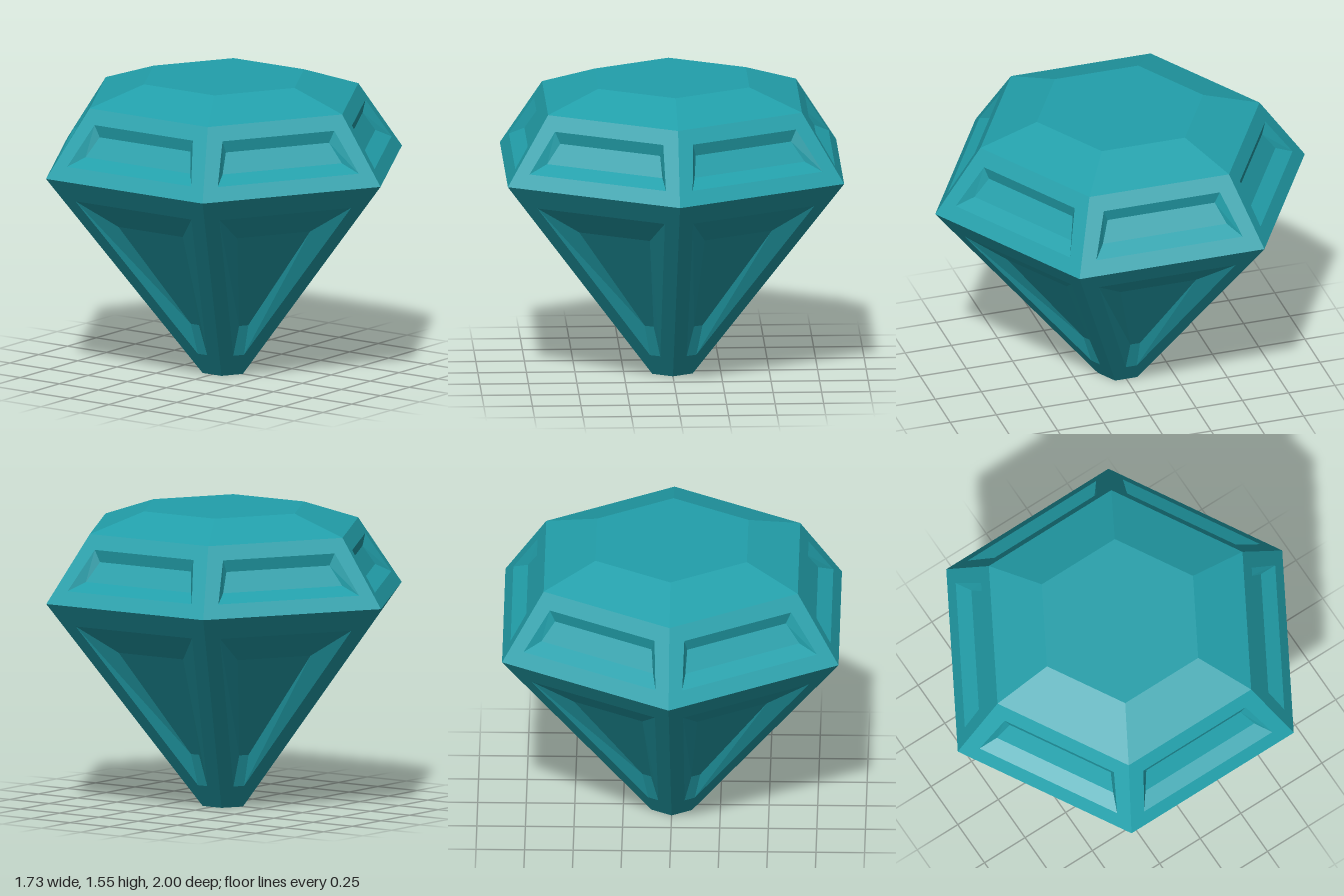
import * as THREE from 'three';

const teal = new THREE.MeshStandardMaterial({ color: 0x22a0ab });
teal.name = 'teal gem';

const A = Math.cos(Math.PI / 6); // hexagon apothem for radius 1

// Four corners of a level trapezoid facing +z, counter-clockwise from bottom left
function ring([y0, z0, h0], [y1, z1, h1]) {
  return [[-h0, y0, z0], [h0, y0, z0], [h1, y1, z1], [-h1, y1, z1]];
}

// One gem facet: a border, sloping walls and a sunken floor
function facetGeometry(outer, lip, floor) {
  const pos = [];
  const quad = (a, b, c, d) => pos.push(...a, ...b, ...c, ...a, ...c, ...d);
  for (const [p, q] of [[outer, lip], [lip, floor]]) {
    for (let i = 0; i < 4; i++) {
      const j = (i + 1) % 4;
      quad(p[i], p[j], q[j], q[i]);
    }
  }
  quad(...floor);
  const g = new THREE.BufferGeometry();
  g.setAttribute('position', new THREE.Float32BufferAttribute(pos, 3));
  g.computeVertexNormals();
  return g;
}

// Height, distance from the axis and half width on a hexagonal cone
function onCone(yA, rA, yB, rB) {
  return (y, half, sink = 0) => {
    const r = rA + (rB - rA) * (y - yA) / (yB - yA);
    return [y, r * A - sink, half ?? r / 2];
  };
}

function addFacets(group, name, geometry) {
  for (let i = 0; i < 6; i++) {
    const mesh = new THREE.Mesh(geometry, teal);
    mesh.name = name + (i + 1);
    mesh.rotation.y = Math.PI / 6 + i * Math.PI / 3;
    group.add(mesh);
  }
}

export function createModel() {
  const gem = new THREE.Group();
  gem.name = 'gem';

  // Long lower facets with tapering recesses
  const low = onCone(0, 0.12, 1.1, 1);
  addFacets(gem, 'lowerFacet', facetGeometry(
    ring(low(0), low(1.1)),
    ring(low(0.12, 0.03), low(0.985, 0.37)),
    ring(low(0.29, 0.026, 0.052), low(0.845, 0.205, 0.052))));

  // Short upper facets with wide recesses
  const up = onCone(1.1, 1, 1.45, 0.755);
  addFacets(gem, 'upperFacet', facetGeometry(
    ring(up(1.1), up(1.45)),
    ring(up(1.17, 0.396), up(1.378, 0.314)),
    ring(up(1.215, 0.335, 0.05), up(1.315, 0.29, 0.05))));

  // Bevelled crown with a flat table on top
  const crownGeo = new THREE.CylinderGeometry(0.45, 0.755, 0.1, 6, 1, true).toNonIndexed();
  crownGeo.computeVertexNormals();
  const crown = new THREE.Mesh(crownGeo, teal);
  crown.name = 'crownBevel';
  crown.position.y = 1.5;
  gem.add(crown);

  // Flat hexagons closing the top and the tip
  for (const [name, r, y, tilt] of [['table', 0.45, 1.55, -1], ['tip', 0.12, 0, 1]]) {
    const cap = new THREE.Mesh(new THREE.CircleGeometry(r, 6, Math.PI / 2), teal);
    cap.name = name;
    cap.rotation.x = tilt * Math.PI / 2;
    cap.position.y = y;
    gem.add(cap);
  }
  return gem;
}
